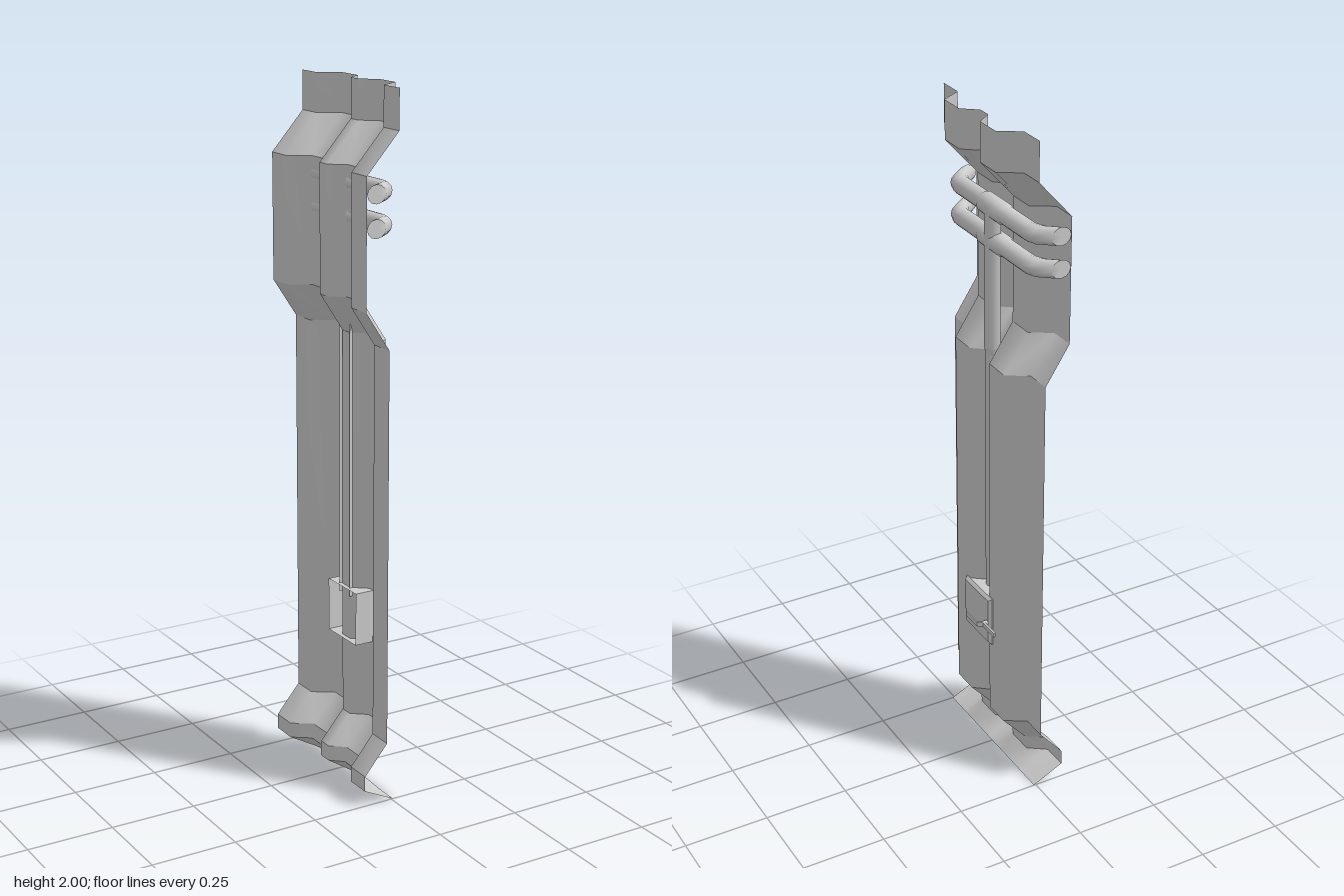
import * as THREE from 'three';
import { mergeGeometries, toCreasedNormals } from 'three/addons/utils/BufferGeometryUtils.js';

const material = new THREE.MeshStandardMaterial({ color: 0xcccccc, side: THREE.DoubleSide });
const flatMaterial = new THREE.MeshStandardMaterial({ color: 0xcccccc, side: THREE.DoubleSide, flatShading: true });

function addMesh(parent, name, geometry, mat = material) {
  const mesh = new THREE.Mesh(geometry, mat);
  mesh.name = name;
  parent.add(mesh);
  return mesh;
}

// Corrugation across the panel: [z, depth]
const ribs = [
  [-0.25, 0], [-0.173, 0], [-0.135, 0.06], [-0.055, 0.06], [-0.02, 0.017],
  [0.02, 0.017], [0.055, 0.06], [0.135, 0.06], [0.173, 0], [0.25, 0],
];
// Side profile of the panel, bottom to top: [y, x, corrugation strength]
const levels = [
  [0, 0.006, 0], [0.045, -0.087, 0.86], [0.09, -0.087, 0.95], [0.175, -0.015, 1], [1.31, -0.015, 1],
  [1.42, -0.087, 1], [1.78, -0.087, 1], [1.89, 0.011, 1], [2, 0.011, 1],
];

// One band between two levels: smooth across the ribs, sharp at the folds
function panelBand(low, high) {
  const positions = [], index = [];
  ribs.forEach(([z, depth], i) => {
    for (const [y, x, k] of [low, high]) positions.push(x + depth * k, y, z);
    if (i < ribs.length - 1) {
      const a = i * 2;
      index.push(a, a + 1, a + 2, a + 1, a + 3, a + 2);
    }
  });
  const g = new THREE.BufferGeometry();
  g.setAttribute('position', new THREE.Float32BufferAttribute(positions, 3));
  g.setIndex(index);
  g.computeVertexNormals();
  return g;
}

// Horizontal pipe along z with a thicker sleeve in the middle and ends bent to the wall
function crossPipeGeometry() {
  const half = [[0.03, 0], [0.03, 0.05], [0.026, 0.06], [0.026, 0.185], [0.026, 0.215], [0.026, 0.25], [0, 0.25]];
  const mirrored = half.slice(1).reverse().map(([r, z]) => [r, -z]);
  const g = new THREE.LatheGeometry([...mirrored, ...half].map(([r, z]) => new THREE.Vector2(r, z)), 12);
  g.rotateX(Math.PI / 2);
  const p = g.attributes.position;
  for (let i = 0; i < p.count; i++) {
    const z = Math.abs(p.getZ(i));
    const bend = z > 0.24 ? -0.053 : z > 0.2 ? -0.012 : 0;
    p.setX(i, p.getX(i) * (bend ? 1.12 : 1) + bend);
  }
  return toCreasedNormals(g, 0.9);
}

// Half-round pipe, open towards the wall
function halfPipe(y0, y1, rTop, rBottom) {
  const g = new THREE.CylinderGeometry(rTop, rBottom, y1 - y0, 8, 1, true, 0, Math.PI);
  return g.translate(-0.004, (y0 + y1) / 2, 0);
}

export function createModel() {
  const model = new THREE.Group();
  model.name = 'wallPanel';

  // Folded, corrugated sheet
  const bands = [];
  for (let i = 0; i < levels.length - 1; i++) bands.push(panelBand(levels[i], levels[i + 1]));
  addMesh(model, 'corrugatedPanel', mergeGeometries(bands));

  // Pipework
  const pipes = new THREE.Group();
  pipes.name = 'pipes';
  model.add(pipes);
  for (const [name, y] of [['upperCrossPipe', 1.731], ['lowerCrossPipe', 1.64]]) {
    addMesh(pipes, name, crossPipeGeometry()).position.set(-0.004, y, 0);
  }
  addMesh(pipes, 'downPipeSleeve', halfPipe(1.33, 1.74, 0.03, 0.03));
  addMesh(pipes, 'downPipeCollar', halfPipe(1.31, 1.33, 0.03, 0.027));
  addMesh(pipes, 'downPipe', halfPipe(0.54, 1.31, 0.027, 0.027));

  // Switch box: four-sided with a bevelled front and an open back
  const d = Math.SQRT2;
  const profile = [[0.075 * d, -0.012], [0.075 * d, 0.048], [0.067 * d, 0.057], [0, 0.057]];
  const box = new THREE.LatheGeometry(profile.map(([r, x]) => new THREE.Vector2(r, x)), 4, Math.PI / 4);
  box.rotateZ(-Math.PI / 2).scale(1, 1.04, 1);
  addMesh(model, 'switchBox', box, flatMaterial).position.y = 0.487;

  // Cranked lever: a thin strip extruded upwards
  const outline = [
    [0.082, 0.012], [0.086, 0.012], [0.086, -0.053], [0.072, -0.065], [0.072, -0.127],
    [0.066, -0.127], [0.066, -0.062], [0.082, -0.051],
  ];
  const lever = new THREE.ExtrudeGeometry(
    new THREE.Shape(outline.map(([x, z]) => new THREE.Vector2(x, -z))),
    { depth: 0.014, bevelEnabled: false },
  );
  lever.rotateX(-Math.PI / 2);
  addMesh(model, 'lever', lever, flatMaterial).position.y = 0.473;

  // Pivot pin joining the lever to the box
  const pin = new THREE.CylinderGeometry(0.008, 0.008, 0.016, 8).rotateZ(Math.PI / 2);
  addMesh(model, 'leverPivot', pin).position.set(0.062, 0.48, -0.06);

  return model;
}
